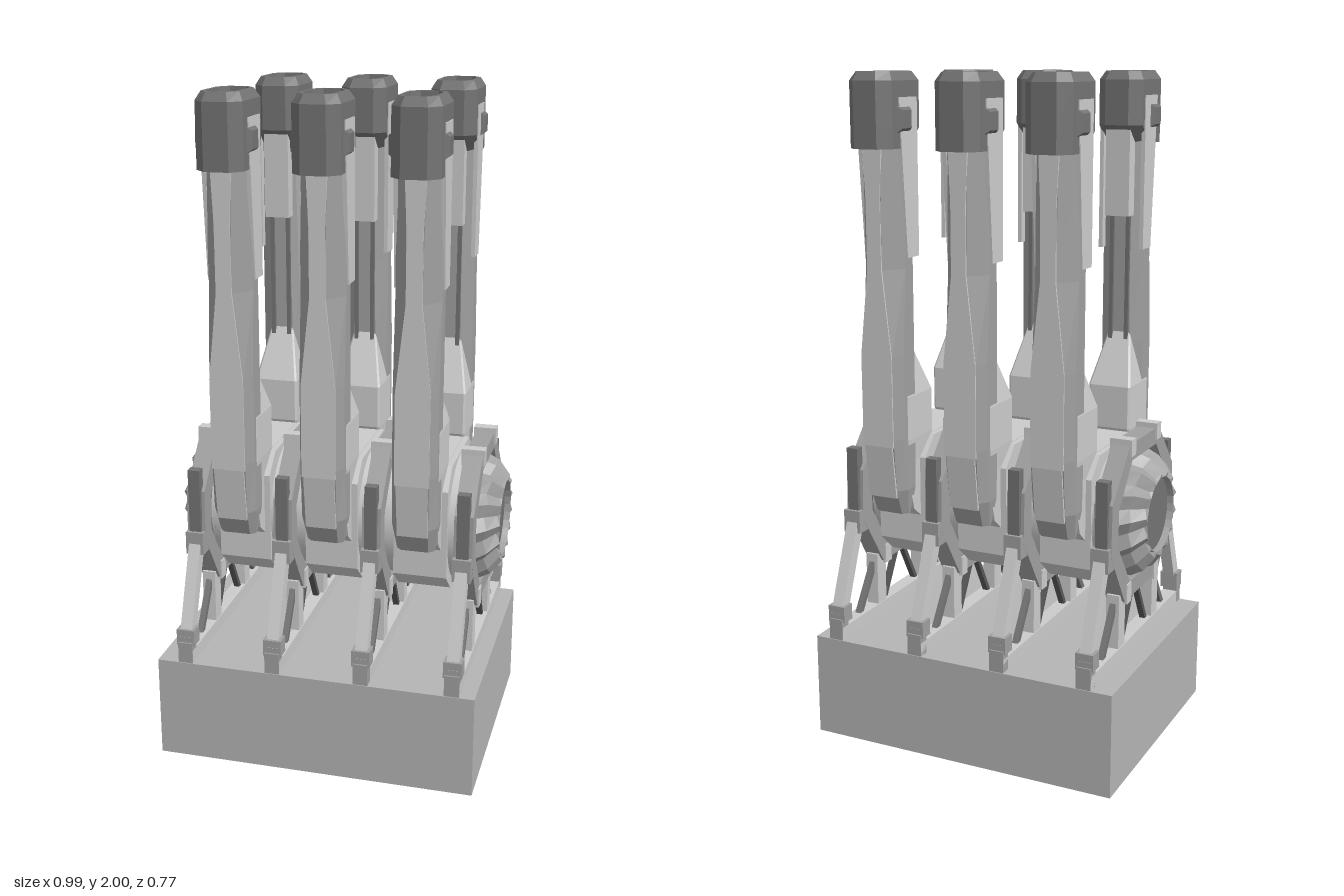
import * as THREE from 'three';

const paint = (color) => new THREE.MeshStandardMaterial({ color, flatShading: true, side: THREE.DoubleSide });
const light = paint(0xcccccc);
const baseGrey = paint(0xb4b4b4);
const mid = paint(0xa0a0a0);
const dark = paint(0x747474);
const darkest = paint(0x585858);
const smooth = new THREE.MeshStandardMaterial({ color: 0xcccccc, side: THREE.DoubleSide });
const AXIS_Y = 0.73;

function add(parent, name, geometry, x = 0, y = 0, z = 0, material = light) {
  const mesh = new THREE.Mesh(geometry, material);
  mesh.name = name;
  mesh.position.set(x, y, z);
  parent.add(mesh);
  return mesh;
}

const box = (parent, name, w, h, d, x, y, z, material) =>
  add(parent, name, new THREE.BoxGeometry(w, h, d), x, y, z, material);

// Bar between two [z, y] points
function bar(parent, name, [z0, y0], [z1, y1], width, depth, material) {
  const length = Math.hypot(z1 - z0, y1 - y0);
  const mesh = box(parent, name, width, length, depth, 0, (y0 + y1) / 2, (z0 + z1) / 2, material);
  mesh.rotation.x = Math.atan2(z1 - z0, y1 - y0);
}

// Skin over a stack of sections { y, pts: [[x, z], ...] } with both ends closed
function loft(sections) {
  const v = [];
  const n = sections[0].pts.length;
  const at = (s, i) => [s.pts[i % n][0], s.y, s.pts[i % n][1]];
  for (let k = 0; k < sections.length - 1; k++) {
    const a = sections[k], b = sections[k + 1];
    for (let i = 0; i < n; i++) {
      v.push(...at(a, i), ...at(a, i + 1), ...at(b, i + 1), ...at(a, i), ...at(b, i + 1), ...at(b, i));
    }
  }
  const first = sections[0], last = sections[sections.length - 1];
  for (let i = 1; i < n - 1; i++) {
    v.push(...at(first, 0), ...at(first, i + 1), ...at(first, i));
    v.push(...at(last, 0), ...at(last, i), ...at(last, i + 1));
  }
  const g = new THREE.BufferGeometry();
  g.setAttribute('position', new THREE.Float32BufferAttribute(v, 3));
  g.computeVertexNormals();
  return g;
}

// Eight-sided section: half width w, depth zi..zo, outer and inner flats fo and fi, chamfer depths co and ci
function section(y, w, zi, zo, fo, fi, co, ci) {
  const half = [[fo, zo], [w, zo - co], [w, zi + ci], [fi, zi]];
  return { y, pts: [...half, ...half.map(([x, z]) => [-x, z]).reverse()] };
}

// Mirror a one-sided run of points into a closed outline
const mirrored = (pts) => [...pts, ...pts.map(([a, b]) => [-a, b]).reverse()];

function extrude(points, depth, hole) {
  const shape = new THREE.Shape(points.map((p) => new THREE.Vector2(...p)));
  if (hole) shape.holes.push(new THREE.Path(hole.map((p) => new THREE.Vector2(...p))));
  return new THREE.ExtrudeGeometry(shape, { depth, bevelEnabled: false }).translate(0, 0, -depth / 2);
}

// Polygon given in [z, y], extruded along x and centred on it
const extrudeX = (points, width, hole) => extrude(points, width, hole).rotateY(-Math.PI / 2);

function makeArm() {
  const arm = new THREE.Group();
  arm.name = 'arm';

  // Long faceted shaft whose outer flat narrows toward the head
  add(arm, 'shaft', loft([
    section(0.71, 0.055, 0.235, 0.275, 0.04, 0.03, 0.015, 0.015),
    section(0.79, 0.066, 0.215, 0.31, 0.045, 0.04, 0.03, 0.02),
    section(0.95, 0.066, 0.21, 0.332, 0.05, 0.04, 0.04, 0.02),
    section(1.2, 0.066, 0.2, 0.332, 0.05, 0.035, 0.04, 0.03),
    section(1.45, 0.066, 0.2, 0.332, 0.022, 0.03, 0.06, 0.03),
    section(1.8, 0.066, 0.2, 0.332, 0.028, 0.03, 0.06, 0.03),
  ]), 0, 0, 0, mid);
  add(arm, 'outerPlate', extrude(mirrored([
    [0.05, 0.93], [0.05, 1.2], [0.023, 1.45], [0.023, 1.65], [0.03, 1.8]]), 0.006), 0, 0, 0.333);
  bar(arm, 'lowerPlate', [0.31, 0.77], [0.332, 0.94], 0.09, 0.008);

  // Pointed pod at the foot of the shaft
  add(arm, 'pod', loft([
    section(0.76, 0.055, 0.2, 0.265, 0.05, 0.05, 0.005, 0.005),
    section(0.94, 0.067, 0.125, 0.28, 0.061, 0.061, 0.006, 0.006),
    section(1.07, 0.067, 0.125, 0.28, 0.061, 0.061, 0.006, 0.006),
    section(1.23, 0.034, 0.202, 0.27, 0.03, 0.03, 0.005, 0.005),
  ]));

  // Inner panel, rails and tapered side panels under the head
  box(arm, 'innerPanel', 0.075, 0.27, 0.045, 0, 1.715, 0.185);
  const sidePanel = [[0.3, 1.93], [0.2, 1.93], [0.2, 1.48], [0.265, 1.48]];
  for (const s of [-1, 1]) {
    box(arm, 'innerRail', 0.012, 0.4, 0.02, s * 0.025, 1.4, 0.2, dark);
    add(arm, 'sidePanel', extrudeX(sidePanel, 0.012), s * 0.065);
  }

  // Chamfered head with a rim and a recessed mouth
  const inset = (y, d) => section(y, 0.068 - d, 0.148 + d, 0.368 - d, 0.036 - d * 0.5, 0.036 - d * 0.5, 0.035, 0.035);
  add(arm, 'head', loft([
    section(1.79, 0.068, 0.21, 0.368, 0.036, 0.036, 0.035, 0.035),
    inset(1.845, 0), inset(1.975, 0), inset(2, 0.014), inset(2, 0.023), inset(1.955, 0.025),
  ]), 0, 0, 0, dark);
  add(arm, 'mouth', loft([inset(1.95, 0.025), inset(1.962, 0.025)]), 0, 0, 0, darkest);
  for (const s of [-1, 1]) {
    const nub = new THREE.CylinderGeometry(0.035, 0.05, 0.014, 4, 1).rotateY(Math.PI / 4).rotateZ(-s * Math.PI / 2);
    add(arm, 'headNub', nub, s * 0.075, 1.87, 0.275, dark);
  }
  return arm;
}

function makeFrame(x) {
  const frame = new THREE.Group();
  frame.name = 'supportFrame';
  frame.position.x = x;

  // Eight-sided collar around the drum
  add(frame, 'collar', extrudeX(
    mirrored([[0.12, 0.965], [0.25, 0.82], [0.255, 0.67], [0.14, 0.495]]), 0.056,
    mirrored([[0.1, 0.915], [0.2, 0.79], [0.2, 0.68], [0.1, 0.545]])), 0, 0, 0, mid);
  box(frame, 'footRail', 0.045, 0.04, 0.76, 0, 0.335, 0);

  for (const s of [-1, 1]) {
    box(frame, 'topClip', 0.068, 0.05, 0.035, 0, 0.955, s * 0.105);
    box(frame, 'lowerClip', 0.065, 0.06, 0.035, 0, 0.515, s * 0.115);
    box(frame, 'cornerClip', 0.036, 0.24, 0.03, 0, 0.77, s * 0.25, dark);
    bar(frame, 'leg', [s * 0.25, 0.67], [s * 0.36, 0.39], 0.036, 0.038);
    box(frame, 'hipJoint', 0.055, 0.07, 0.05, 0, 0.66, s * 0.25, mid);
    box(frame, 'ankle', 0.055, 0.05, 0.045, 0, 0.395, s * 0.355, mid);
    box(frame, 'foot', 0.045, 0.07, 0.035, 0, 0.345, s * 0.365, mid);
    // Inner post and thin diagonal braces
    box(frame, 'post', 0.04, 0.2, 0.05, 0, 0.42, s * 0.14);
    bar(frame, 'innerBrace', [s * 0.015, 0.5], [s * 0.1, 0.35], 0.018, 0.014, darkest);
    bar(frame, 'outerBrace', [s * 0.15, 0.5], [s * 0.25, 0.35], 0.018, 0.018, dark);
  }
  return frame;
}

// Domed end with twisted, stepped ribs around an open middle
function makeEndCap(side) {
  const profile = [[0.195, 0.37], [0.192, 0.42], [0.172, 0.46], [0.13, 0.493], [0.113, 0.49], [0.11, 0.465]];
  const g = new THREE.LatheGeometry(profile.map(([r, h]) => new THREE.Vector2(r, h)), 28);
  const p = g.attributes.position;
  for (let i = 0; i < p.count; i++) {
    const row = i % profile.length, odd = Math.floor(i / profile.length) % 2;
    if (row < 1 || row > 3) continue;
    const k = odd ? 0.92 : 1;
    const c = Math.cos(row * 0.06), s = Math.sin(row * 0.06);
    const x = p.getX(i) * k, z = p.getZ(i) * k;
    p.setXYZ(i, x * c - z * s, p.getY(i) - odd * 0.012, x * s + z * c);
  }
  return g.rotateZ(-side * Math.PI / 2);
}

export function createModel() {
  const model = new THREE.Group();
  model.name = 'armedDrumOnBase';

  box(model, 'base', 0.97, 0.315, 0.77, -0.01, 0.1575, 0, baseGrey);

  // Central drum with ribbed ends and dark end discs
  add(model, 'drum', new THREE.CylinderGeometry(0.195, 0.195, 0.76, 40).rotateZ(Math.PI / 2), 0, AXIS_Y, 0, smooth);
  for (const s of [-1, 1]) {
    add(model, 'drumEnd', makeEndCap(s), 0, AXIS_Y, 0, mid);
    const disc = new THREE.CylinderGeometry(0.112, 0.112, 0.01, 28).rotateZ(Math.PI / 2);
    add(model, 'endDisc', disc, s * 0.466, AXIS_Y, 0, dark);
  }

  // Mount blocks on the drum, each holding a front and a back arm
  for (const x of [-0.27, 0, 0.27]) {
    add(model, 'drumBand', extrudeX(mirrored([[0.14, 0.93], [0.2, 0.87], [0.2, 0.6], [0.13, 0.54]]), 0.16), x);
    add(model, 'armMount', extrudeX(mirrored([[0.265, 0.932], [0.265, 0.8], [0.24, 0.72], [0.19, 0.68]]), 0.125), x);
    for (const turn of [0, Math.PI]) {
      const arm = makeArm();
      arm.position.x = x;
      arm.rotation.y = turn;
      model.add(arm);
    }
  }

  for (const x of [-0.407, -0.135, 0.135, 0.407]) model.add(makeFrame(x));
  return model;
}
